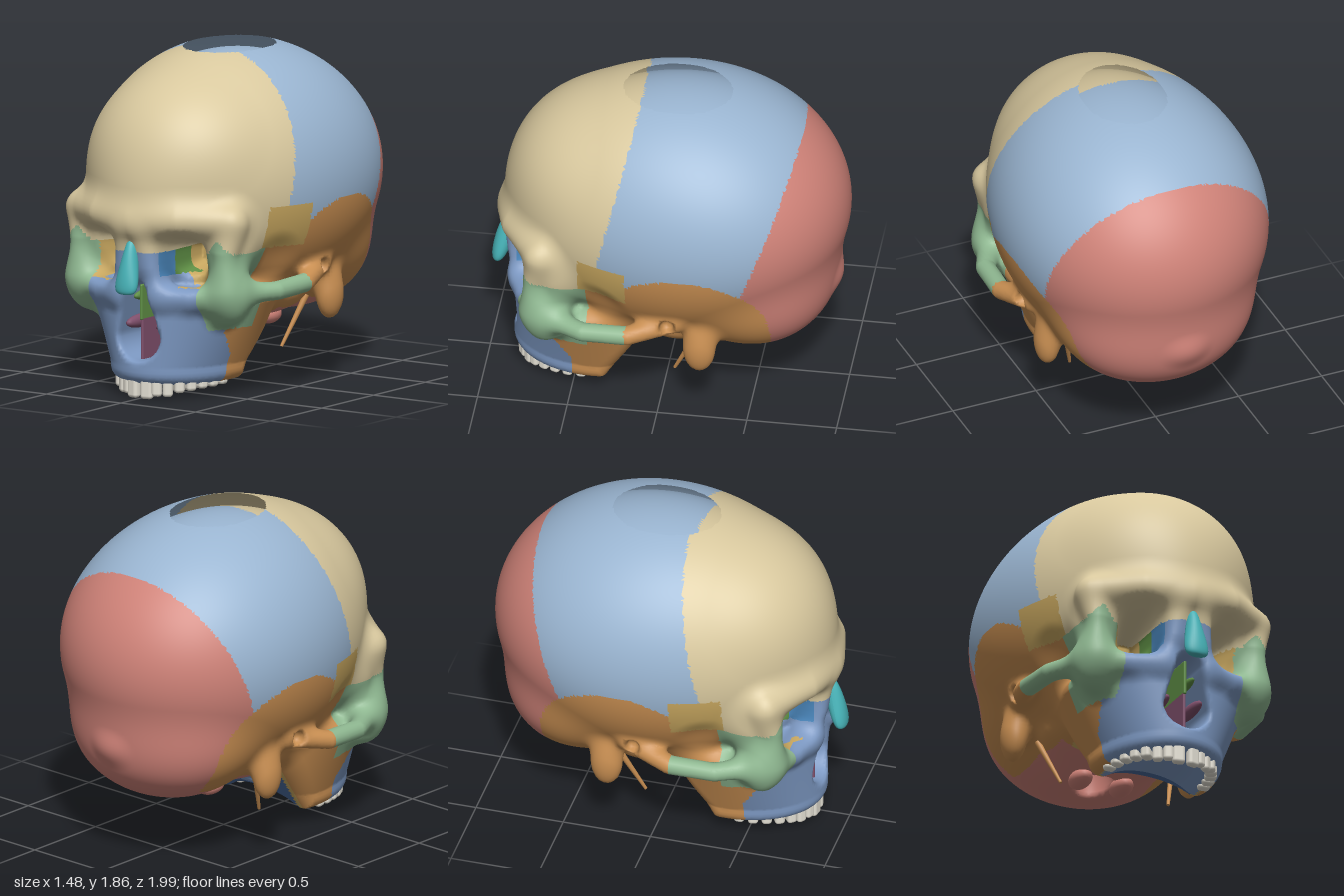
import * as THREE from 'three';
import { RoundedBoxGeometry } from 'three/addons/geometries/RoundedBoxGeometry.js';

const COLORS = {
  frontal: 0xd8c89e, parietal: 0x9ab5d1, occipital: 0xcf8278, temporal: 0xc98f52, sphenoid: 0xc9a860,
  zygomatic: 0x8fb891, maxilla: 0x7d99c3, palatine: 0x4a6a9c, lacrimal: 0x4a86bb, ethmoid: 0x5f8f45,
  nasal: 0x47b3b8, vomer: 0x80506c, teeth: 0xe4e0d4,
};
const material = (bone) => new THREE.MeshStandardMaterial({ color: COLORS[bone], side: THREE.DoubleSide });
const clamp = (v, a = 0, b = 1) => Math.min(b, Math.max(a, v));

// Distance helpers: blends, ellipsoid and a rod through several points
const join = (a, b, k) => { const h = Math.max(k - Math.abs(a - b), 0) / k; return Math.min(a, b) - h * h * k / 4; };
const cut = (a, b, k) => -join(-a, b, k);
function ellipsoid(x, y, z, cx, cy, cz, rx, ry, rz) {
  const a = (x - cx) / rx, b = (y - cy) / ry, c = (z - cz) / rz;
  const k = Math.sqrt(a * a + b * b + c * c);
  return k * (k - 1) / (Math.sqrt((a / rx) ** 2 + (b / ry) ** 2 + (c / rz) ** 2) + 1e-6);
}
function rod(x, y, z, pts, r) {
  let best = Infinity;
  for (let i = 0; i + 1 < pts.length; i++) {
    const [ax, ay, az] = pts[i], [bx, by, bz] = pts[i + 1];
    const ux = bx - ax, uy = by - ay, uz = bz - az, px = x - ax, py = y - ay, pz = z - az;
    const t = clamp((px * ux + py * uy + pz * uz) / (ux * ux + uy * uy + uz * uz));
    best = Math.min(best, (px - ux * t) ** 2 + (py - uy * t) ** 2 + (pz - uz * t) ** 2);
  }
  return Math.sqrt(best) - r;
}

const BROW = [[0, 1.0, 0.89], [0.26, 1.02, 0.835], [0.51, 1.02, 0.67]];
const RIM = [[0.51, 1.0, 0.66], [0.485, 0.84, 0.69], [0.48, 0.64, 0.69]];
const EYE_FLOOR = [[0.13, 0.6, 0.8], [0.3, 0.585, 0.76], [0.47, 0.6, 0.69]];
const ARCH = [[0.53, 0.61, 0.6], [0.63, 0.61, 0.4], [0.645, 0.62, 0.15], [0.575, 0.68, -0.1]];
const NOSE_SIDE = [[0.13, 0.58, 0.805], [0.09, 0.75, 0.84], [0.05, 0.95, 0.86]];
const EAR = [[0.61, 0.68, -0.07], [0.8, 0.68, -0.07]];

// The skull as one blended, hollow solid, mirrored through |x|
function skull(sx, y, z) {
  const x = Math.abs(sx), wx = x * (1 + 0.1 * (z + 0.08));
  let d = ellipsoid(wx, y, z, 0, 1.15, -0.045, 0.74, 0.752, 0.96);
  d = join(d, ellipsoid(x, y, z, 0, 1.3, 0.35, 0.54, 0.475, 0.52), 0.06);
  d = join(d, ellipsoid(x, y, z, 0, 0.72, -0.48, 0.55, 0.385, 0.46), 0.14);
  d = join(d, ellipsoid(x, y, z, 0, 0.71, -0.87, 0.1, 0.07, 0.08), 0.08);
  d = join(d, ellipsoid(x, y, z, 0, 0.5, -0.08, 0.42, 0.15, 0.28), 0.08);
  d = cut(d, ellipsoid(x, y, z, 0.66, 0.7, 0.36, 0.12, 0.17, 0.16), 0.08);
  // upper jaw: an elliptical column widening upwards, sloped at the back
  const a = 0.368 + 0.42 * clamp(y - 0.18, 0, 0.35);
  let jaw = (Math.hypot(x / a, (z - 0.38) / 0.485) - 1) * 0.36;
  jaw = cut(jaw, -Math.max(0.08 - y, y - 0.62, (0.37 - z - 0.65 * y) * 0.84), 0.08);
  d = join(d, jaw, 0.09);
  // temple, brow, nose root and sides, eye rim, cheek, cheek arch, mastoid
  d = join(d, ellipsoid(x, y, z, 0.4, 0.9, 0.55, 0.165, 0.24, 0.17), 0.08);
  d = join(d, rod(x, y, z, BROW, 0.052), 0.14);
  d = join(d, ellipsoid(x, y, z, 0, 0.79, 0.7, 0.14, 0.22, 0.18), 0.06);
  d = join(d, rod(x, y, z, NOSE_SIDE, 0.045), 0.09);
  d = join(d, rod(x, y, z, EYE_FLOOR, 0.045), 0.09);
  d = join(d, rod(x, y, z, RIM, 0.058), 0.06);
  d = join(d, ellipsoid(x, y, z, 0.475, 0.6, 0.63, 0.115, 0.16, 0.11), 0.1);
  d = join(d, rod(x, y, z, ARCH, 0.053), 0.07);
  d = join(d, ellipsoid(x, y, z, 0.54, 0.5, -0.24, 0.07, 0.145, 0.09), 0.09);
  // brain cavity with a sloping floor, then its lower opening
  const brain = Math.max(ellipsoid(wx, y, z, 0, 1.155, -0.06, 0.675, 0.68, 0.88), (0.66 + 0.55 * z - y) / 1.14);
  d = cut(d, brain, 0.02);
  d = cut(d, ellipsoid(x, y, z, 0, 0.4, -0.33, 0.1, 0.25, 0.13), 0.03);
  // eye sockets narrow inwards
  const t = clamp((0.85 - z) / 0.45);
  const ox = Math.abs(x - 0.29 + 0.1 * t) / 0.133, oy = Math.abs(y - 0.79) / 0.15;
  d = cut(d, Math.max((Math.cbrt(ox ** 3 + oy ** 3) - 1 + 0.65 * t) * 0.13, 0.42 - z), 0.04);
  // pear-shaped nasal passage, palate and ear canal
  const n = clamp((y - 0.355) / 0.225);
  d = cut(d, Math.max(Math.hypot(x, y - 0.355 - 0.225 * n) - 0.135 + 0.055 * n, 0.25 - z), 0.03);
  d = cut(d, ellipsoid(x, y, z, 0, 0.06, 0.4, 0.25, 0.1, 0.35), 0.04);
  return cut(d, rod(x, y, z, EAR, 0.04), 0.02);
}

// Which bone a point of the surface belongs to
function boneAt(sx, y, z) {
  const x = Math.abs(sx);
  if (x > 0.57 && z > 0.16 && z < 0.6 && y > 0.5 && y < 0.72) return 'zygomatic';
  if (x > 0.36 && z > 0.39 && y > 0.4 && (y < 0.84 || (z > 0.6 && y < 0.92 - Math.abs(x - 0.47)))) return 'zygomatic';
  if (y > 1.08 ? z > 0.135 + (1.87 - y) * 0.235 : y > 0.84 && z > 0.43) return 'frontal';
  if (z > 0.16 && y > 0.84) return y < 1.08 ? 'sphenoid' : 'parietal';
  if (z > 0.43 && y > 0.6) {
    if (x < 0.24 && y > 0.7 && z < 0.84) return z > 0.69 ? 'lacrimal' : z > 0.54 ? 'ethmoid' : 'sphenoid';
    if (x < 0.36 && (z < 0.62 || (y > 0.64 && x > 0.23))) return 'sphenoid';
    return z > 0.55 ? 'maxilla' : 'temporal';
  }
  if (z > 0.5 + (x > 0.3 ? Math.max(0, y - 0.25) * 0.7 : 0)) return 'maxilla';
  if ((z > 0.34 && x < 0.29 && y < 0.3) || (z > 0.22 && x < 0.15 && y > 0.18 && y < 0.68)) return 'maxilla';
  if (z > 0.12 && x < 0.27 && y < 0.36) return 'palatine';
  if (z < 0.16 && y > 0.4 && x > 0.36 && Math.hypot(z + 0.15, y - 0.6) < 0.48) return 'temporal';
  if (x > 0.45 && y < 0.5 && z > -0.34) return 'temporal';
  if (y > 0.9) return z < -0.49 - (y - 0.97) * 0.37 ? 'occipital' : 'parietal';
  if (z < 0 && !(x > 0.36 && z > -0.12)) return 'occipital';
  return x < 0.3 ? 'sphenoid' : 'temporal';
}

// Net over the solid: one vertex per crossed cell, one quad per crossed edge
function buildBones(add) {
  const h = 0.02, N = [80, 92, 101], O = [-0.79, 0.045, -1.015], step = [1, N[0], N[0] * N[1]];
  const val = new Float32Array(N[0] * N[1] * N[2]), cell = new Int32Array(val.length).fill(-1);
  const pos = [], nor = [], lists = {};
  const each = (fn) => {
    for (let k = 0, id = 0; k < N[2]; k++) for (let j = 0; j < N[1]; j++) for (let i = 0; i < N[0]; i++, id++) fn(id, [i, j, k]);
  };
  each((id, c) => { val[id] = skull(O[0] + c[0] * h, O[1] + c[1] * h, O[2] + c[2] * h); });
  each((id, c) => {
    if (c.some((v, n) => v >= N[n] - 1)) return;
    const sum = new THREE.Vector3();
    let count = 0;
    for (let m = 0; m < 8; m++) for (let n = 0; n < 3; n++) {
      if (m >> n & 1) continue;
      const bits = [m & 1, m >> 1 & 1, m >> 2 & 1];
      const p = id + bits[0] + bits[1] * step[1] + bits[2] * step[2];
      const a = val[p], b = val[p + step[n]];
      if (a < 0 === b < 0) continue;
      bits[n] = a / (a - b);
      sum.add(new THREE.Vector3(...bits));
      count++;
    }
    if (!count) return;
    const [x, y, z] = sum.toArray().map((s, n) => O[n] + (c[n] + s / count) * h), e = 0.006;
    const slope = new THREE.Vector3(skull(x + e, y, z) - skull(x - e, y, z),
      skull(x, y + e, z) - skull(x, y - e, z), skull(x, y, z + e) - skull(x, y, z - e));
    cell[id] = pos.length / 3;
    pos.push(x, y, z);
    nor.push(...slope.normalize().toArray());
  });
  const addTriangle = (...t) => {
    const mid = [0, 1, 2].map((n) => t.reduce((s, v) => s + pos[v * 3 + n], 0) / 3);
    (lists[boneAt(...mid)] ??= []).push(...t);
  };
  each((id, c) => {
    for (let n = 0; n < 3; n++) {
      const u = (n + 1) % 3, v = (n + 2) % 3;
      if (c[n] >= N[n] - 1 || !c[u] || !c[v] || val[id] < 0 === val[id + step[n]] < 0) continue;
      const q = [id - step[u] - step[v], id - step[v], id, id - step[u]].map((p) => cell[p]);
      if (q.some((p) => p < 0)) continue;
      if (val[id] >= 0) q.reverse();
      addTriangle(q[0], q[1], q[2]);
      addTriangle(q[0], q[2], q[3]);
    }
  });
  for (const [bone, index] of Object.entries(lists)) {
    const g = new THREE.BufferGeometry().setIndex(index);
    g.setAttribute('position', new THREE.Float32BufferAttribute(pos, 3));
    g.setAttribute('normal', new THREE.Float32BufferAttribute(nor, 3));
    add(bone + 'Bone', g.toNonIndexed(), bone);
  }
}

export function createModel() {
  const group = new THREE.Group();
  const add = (name, geometry, bone, x = 0, y = 0, z = 0) => {
    const mesh = new THREE.Mesh(geometry, material(bone));
    mesh.name = name;
    mesh.position.set(x, y, z);
    group.add(mesh);
    return mesh;
  };
  const blob = (name, bone, x, y, z, rx, ry, rz) => add(name, new THREE.SphereGeometry(1, 20, 14).scale(rx, ry, rz), bone, x, y, z);
  buildBones(add);
  // nasal bones: a ball stretched into a flaring, forward-leaning bridge
  const bridge = new THREE.SphereGeometry(1, 28, 24), p = bridge.attributes.position;
  for (let i = 0; i < p.count; i++) {
    const s = p.getY(i), w = 0.055 - 0.03 * s + 0.012 * s * s, round = (1 - s * s + 1e-6) ** -0.25;
    p.setXYZ(i, p.getX(i) * w * round, 0.755 + 0.15 * s, 0.922 - 0.036 * s + p.getZ(i) * 0.05 * round);
  }
  bridge.computeVertexNormals();
  add('nasalBones', bridge, 'nasal');
  // partition of the nose and the scrolls beside it
  add('vomer', new RoundedBoxGeometry(0.018, 0.25, 0.48, 2, 0.008), 'vomer', 0, 0.33, 0.56);
  add('ethmoidPlate', new RoundedBoxGeometry(0.018, 0.2, 0.42, 2, 0.008), 'ethmoid', 0, 0.54, 0.6);
  for (const s of [-1, 1]) {
    blob('lowerNasalScroll', 'vomer', s * 0.1, 0.41, 0.66, 0.032, 0.038, 0.14);
    blob('middleNasalScroll', 'ethmoid', s * 0.07, 0.56, 0.64, 0.026, 0.03, 0.13);
    blob('occipitalCondyle', 'occipital', s * 0.125, 0.335, -0.245, 0.06, 0.052, 0.095);
    // styloid spike
    const from = new THREE.Vector3(s * 0.41, 0.48, -0.2), to = new THREE.Vector3(s * 0.33, 0.2, -0.075);
    const spike = add('styloid', new THREE.CylinderGeometry(0.009, 0.018, from.distanceTo(to), 12), 'temporal');
    spike.position.lerpVectors(from, to, 0.5);
    spike.quaternion.setFromUnitVectors(new THREE.Vector3(0, 1, 0), to.clone().sub(from).normalize());
    // teeth along the dental arch
    [0.004, 0.02, 0.018, 0.04, 0.048, 0.055, 0.058, 0.062].forEach((bottom, i) => {
      const t = 0.15 + i * 0.19, height = 0.15 - bottom;
      const shape = new RoundedBoxGeometry(i ? 0.058 : 0.072, height, i < 3 ? 0.05 : 0.07, 3, 0.02);
      const tooth = add('tooth', shape, 'teeth', s * 0.29 * Math.sin(t), bottom + height / 2, 0.415 + 0.4 * Math.cos(t));
      tooth.rotation.y = s * Math.atan2(Math.sin(t) / 0.29, Math.cos(t) / 0.4);
    });
  }
  return group;
}
